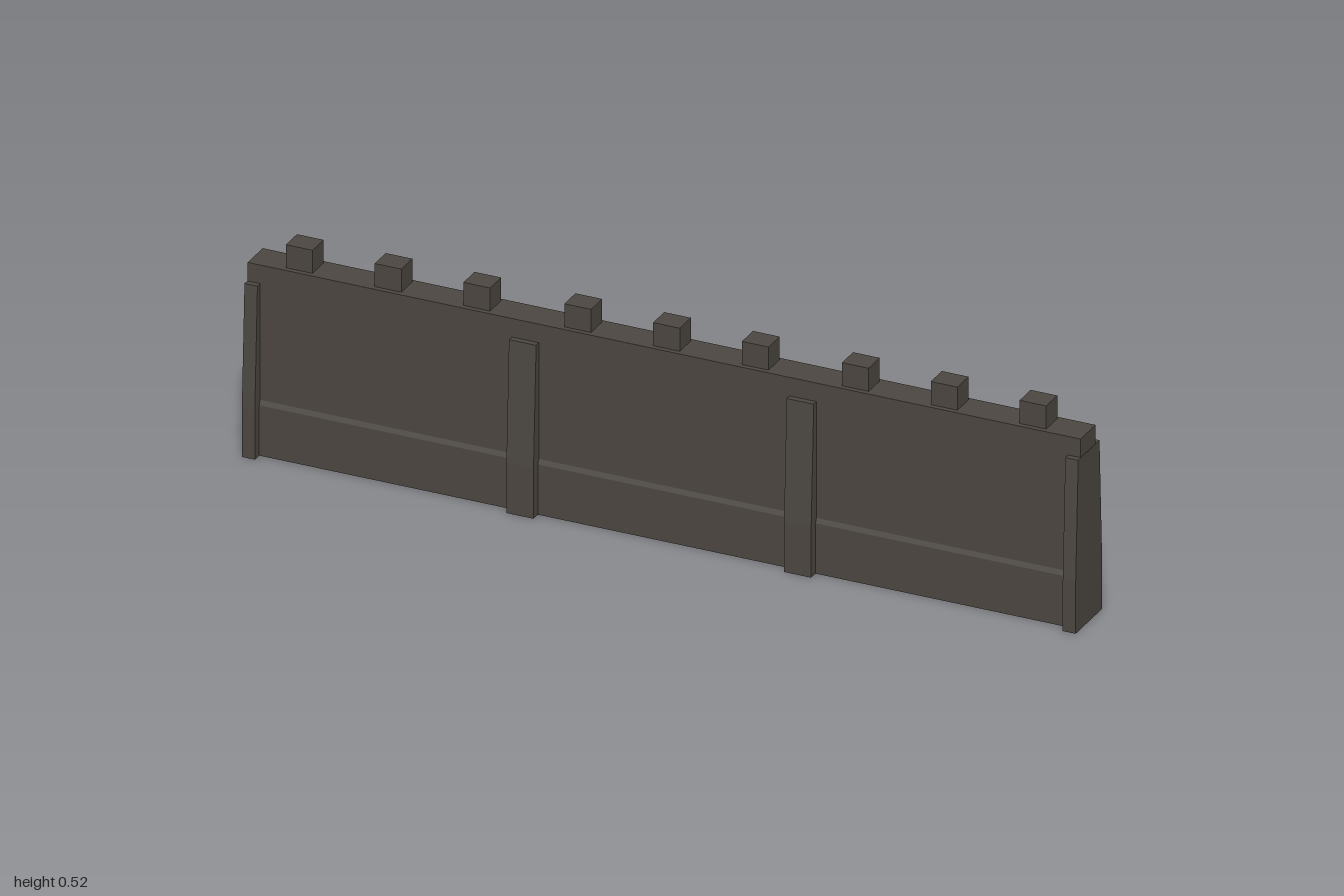
import * as THREE from 'three';

const stone = new THREE.MeshStandardMaterial({ color: 0x4c4741 });
stone.name = 'dark stone';

// Extrudes a (z, y) profile along x, centred on the given x
function extrudeAlongX(name, profile, width, x) {
  const shape = new THREE.Shape(profile.map(([z, y]) => new THREE.Vector2(z, y)));
  const geometry = new THREE.ExtrudeGeometry(shape, { depth: width, bevelEnabled: false });
  geometry.translate(0, 0, -width / 2);
  geometry.rotateY(-Math.PI / 2);
  const mesh = new THREE.Mesh(geometry, stone);
  mesh.name = name;
  mesh.position.x = x;
  return mesh;
}

export function createModel() {
  const model = new THREE.Group();
  model.name = 'battlementWall';

  // Wall with a thicker plinth and a sloped ledge
  model.add(extrudeAlongX('wall', [
    [0.046, 0], [0.046, 0.122], [0.041, 0.133], [0.041, 0.46],
    [-0.035, 0.46], [-0.035, 0.133], [-0.041, 0.122], [-0.041, 0],
  ], 1.998, 0));

  // Tapered buttresses, showing on both sides of the wall; half width at the ends
  const buttress = [
    [0.068, 0], [0.068, 0.122], [0.055, 0.415],
    [-0.053, 0.415], [-0.066, 0.122], [-0.066, 0],
  ];
  for (const side of [-1, 1]) {
    model.add(extrudeAlongX('buttress', buttress, 0.065, side * 0.333));
    model.add(extrudeAlongX('endButtress', buttress, 0.031, side * 0.9845));
  }

  // Three merlons on each of the three bays
  for (const bay of [-0.668, 0, 0.666]) {
    for (const step of [-1, 0, 1]) {
      const merlon = new THREE.Mesh(new THREE.BoxGeometry(0.064, 0.057, 0.056), stone);
      merlon.name = 'merlon';
      merlon.position.set(bay + step * 0.213, 0.4875, 0.001);
      model.add(merlon);
    }
  }
  return model;
}
